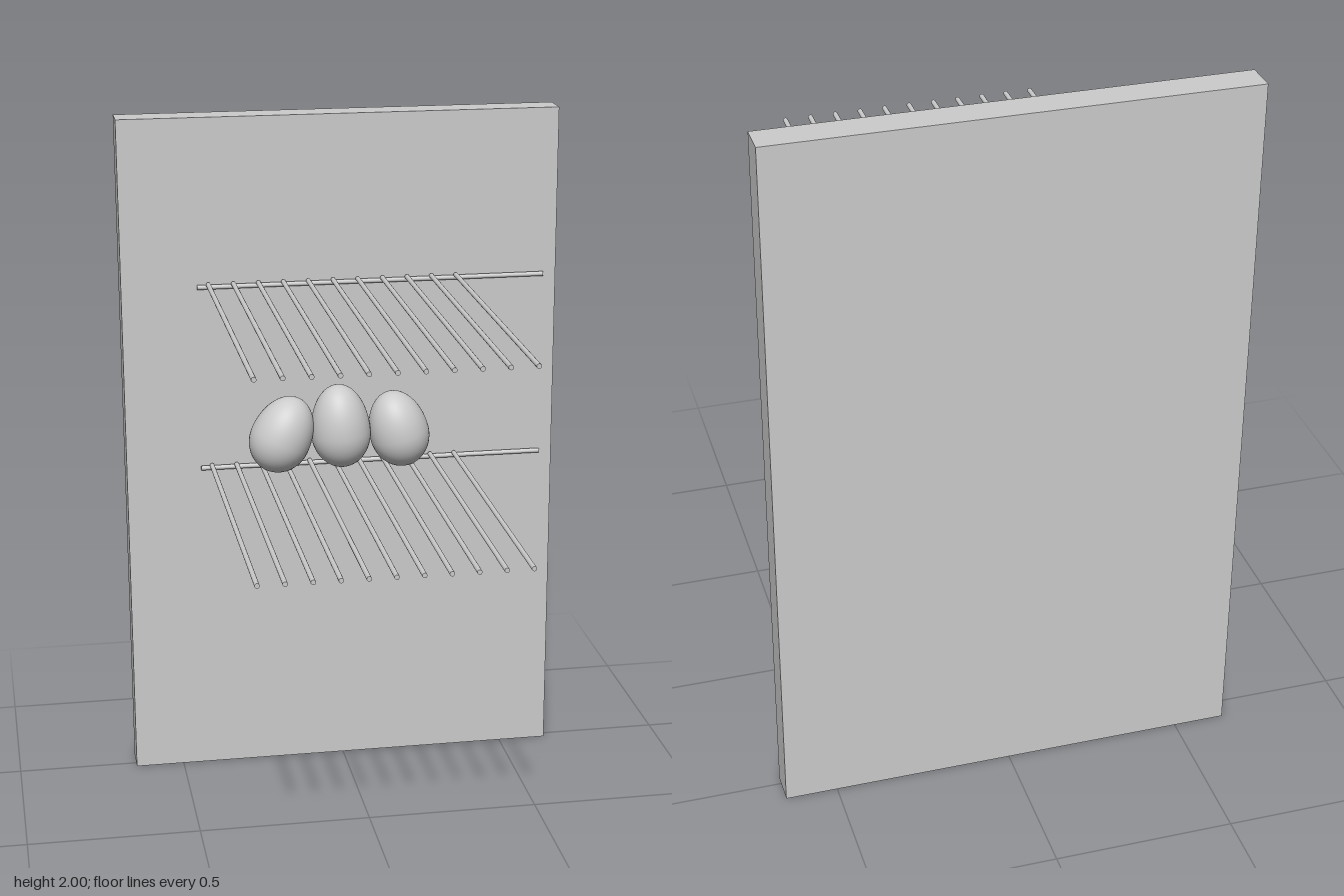
import * as THREE from 'three';

const material = new THREE.MeshStandardMaterial({ color: 0xcccccc });

function addMesh(parent, name, geometry, x, y, z) {
  const mesh = new THREE.Mesh(geometry, material);
  mesh.name = name;
  mesh.position.set(x, y, z);
  parent.add(mesh);
  return mesh;
}

// Egg turned around y, with its widest ring at the origin
function eggGeometry(radius, below, above) {
  const points = [];
  const steps = 32;
  for (let i = 0; i <= steps; i++) {
    const a = (i / steps) * Math.PI;
    const h = -Math.cos(a);
    points.push(new THREE.Vector2(
      i % steps === 0 ? 0 : radius * Math.sin(a),
      h * (h < 0 ? below : above)
    ));
  }
  return new THREE.LatheGeometry(points, 40);
}

// Wire shelf: a cross bar against the wall with rods resting on it
function createShelf(name, y) {
  const shelf = new THREE.Group();
  shelf.name = name;
  shelf.position.y = y;
  const r = 0.007;
  const bar = new THREE.CylinderGeometry(r, r, 1.03, 16).rotateZ(Math.PI / 2);
  addMesh(shelf, 'crossBar', bar, 0.09, -0.0085, -0.467);

  const rod = new THREE.CylinderGeometry(r, r, 1.027, 16).rotateX(Math.PI / 2);
  for (let i = 0; i < 11; i++) {
    addMesh(shelf, `rod${i + 1}`, rod, -0.393 + i * 0.0733, 0, 0.0515);
  }
  return shelf;
}

export function createModel() {
  const model = new THREE.Group();
  model.name = 'eggRack';

  // Back panel
  addMesh(model, 'backPanel', new THREE.BoxGeometry(1.29, 2, 0.09), 0, 1, -0.52);

  // Two shelves
  model.add(createShelf('lowerShelf', 0.966), createShelf('upperShelf', 1.516));

  // Three leaning eggs: x, y, radius, height below and above the widest ring, lean
  const eggs = [
    ['rightEgg', -0.2, 1.063, 0.09, 0.1, 0.135, -0.43],
    ['middleEgg', -0.019, 1.075, 0.088, 0.104, 0.146, 0.07],
    ['leftEgg', 0.157, 1.063, 0.088, 0.099, 0.133, 0.26],
  ];
  for (const [name, x, y, radius, below, above, lean] of eggs) {
    addMesh(model, name, eggGeometry(radius, below, above), x, y, -0.377).rotation.z = lean;
  }

  return model;
}
